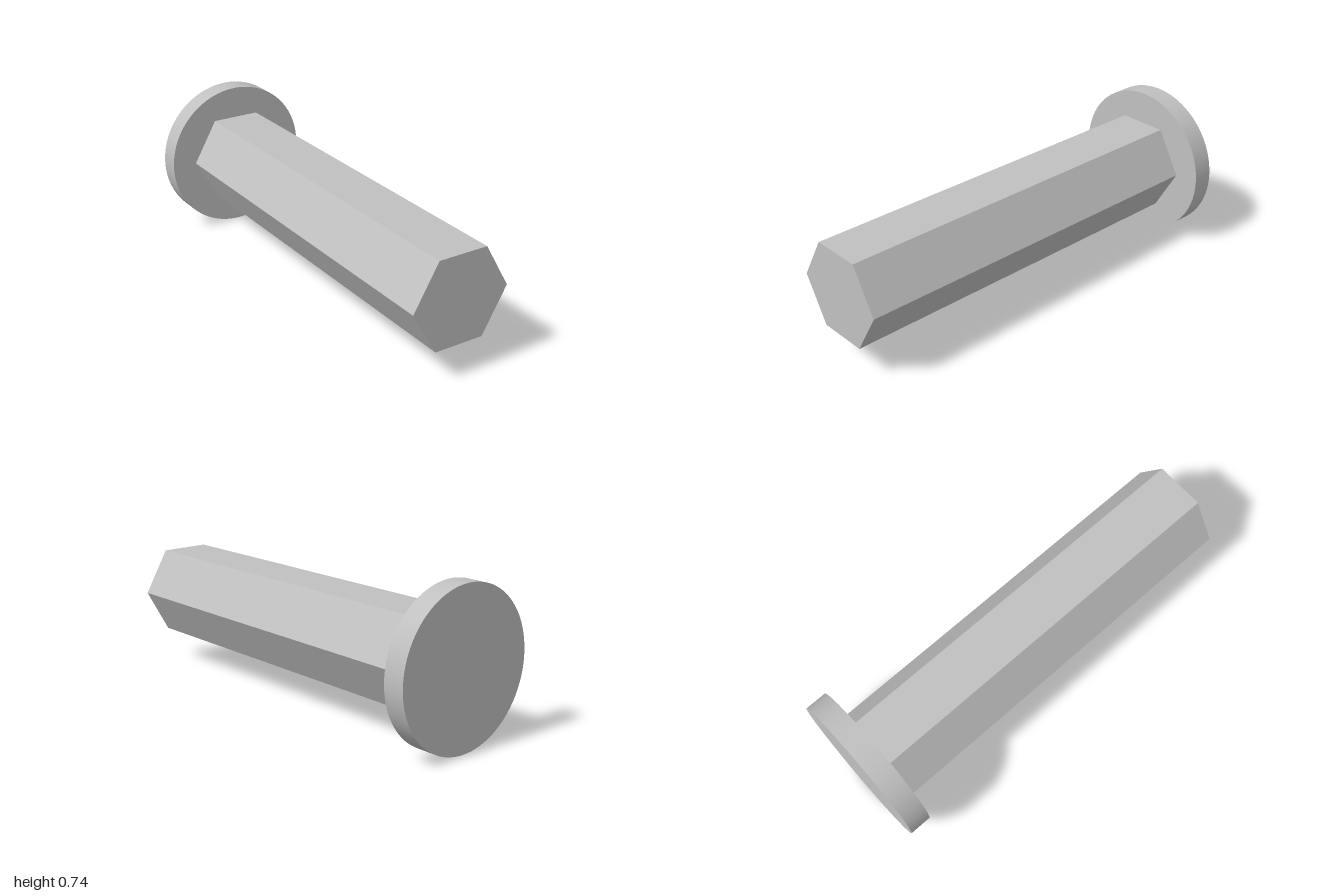
import * as THREE from 'three';

const AXIS_Y = 0.369; // height of the pin's axis

// Prism or disc lying along z, between two z positions
function barAlongZ(name, radius, zBack, zFront, sides, material) {
  const geometry = new THREE.CylinderGeometry(
    radius, radius, zFront - zBack, sides, 1, false, Math.PI / 2);
  geometry.rotateX(Math.PI / 2);
  const mesh = new THREE.Mesh(geometry, material);
  mesh.name = name;
  mesh.position.set(0, AXIS_Y, (zBack + zFront) / 2);
  return mesh;
}

export function createModel() {
  const metal = new THREE.MeshStandardMaterial({ color: 0xc0c0c0 });
  metal.name = 'greyMetal';

  const model = new THREE.Group();
  model.name = 'hexagonalPin';

  // Six-sided shaft, with a corner on each side and a flat on top
  const shaft = barAlongZ('hexShaft', 0.243, -0.895, 1, 6, metal);
  shaft.geometry = shaft.geometry.toNonIndexed();
  shaft.geometry.computeVertexNormals();

  // Round flat head at the back
  const head = barAlongZ('roundHead', 0.369, -1, -0.895, 96, metal);

  model.add(shaft, head);
  return model;
}
